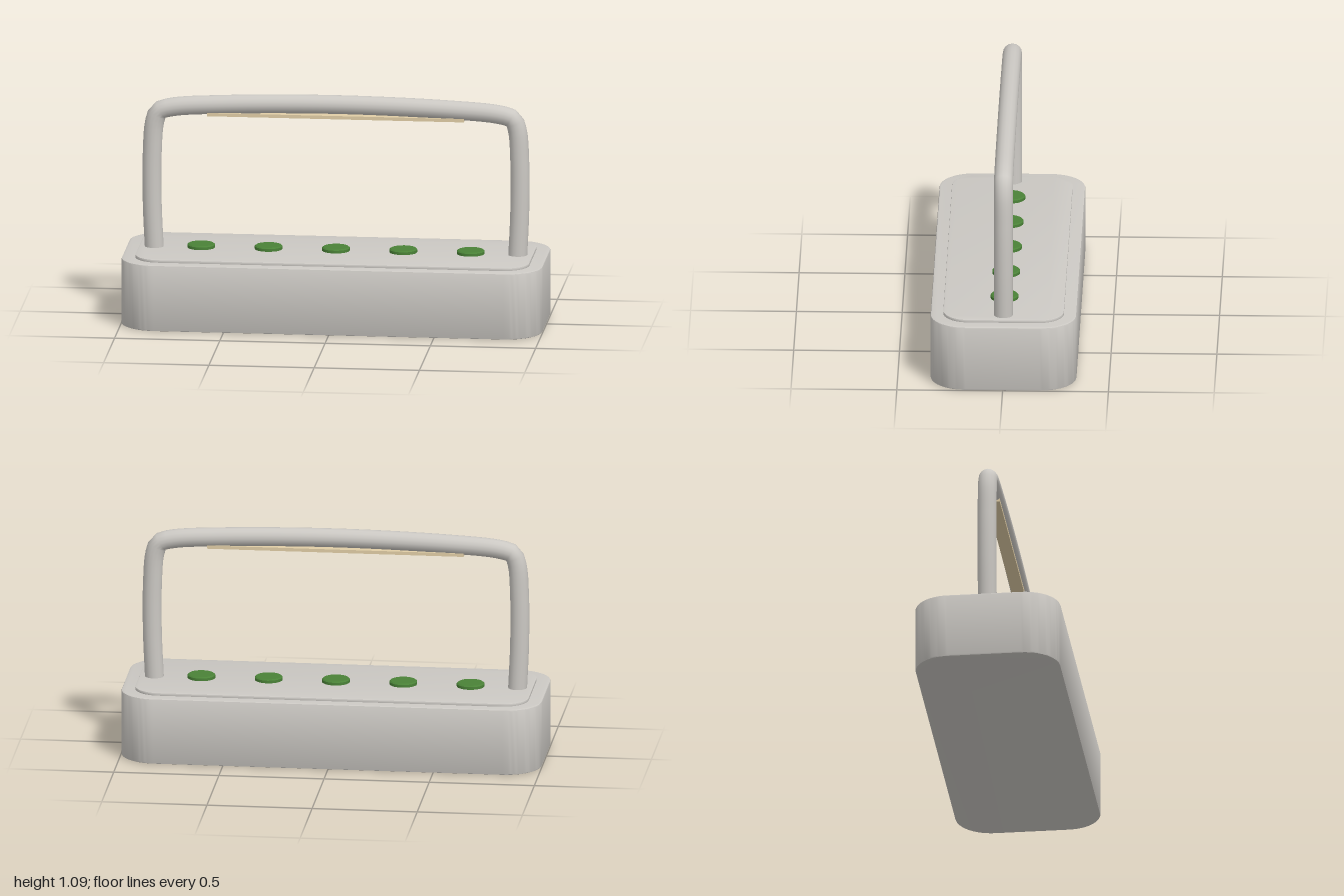
import * as THREE from 'three';
import { toCreasedNormals } from 'three/addons/utils/BufferGeometryUtils.js';

const material = (name, color, extra = {}) => {
  const m = new THREE.MeshStandardMaterial({ color, ...extra });
  m.name = name;
  return m;
};

// Rounded rectangle slab lying flat, with its underside at y = 0
function slab(width, depth, height, radius, bevel) {
  const x = width / 2 - bevel, z = depth / 2 - bevel, r = radius - bevel;
  const shape = new THREE.Shape();
  shape.moveTo(x, -z + r);
  shape.absarc(x - r, z - r, r, 0, Math.PI / 2);
  shape.absarc(-x + r, z - r, r, Math.PI / 2, Math.PI);
  shape.absarc(-x + r, -z + r, r, Math.PI, Math.PI * 1.5);
  shape.absarc(x - r, -z + r, r, Math.PI * 1.5, Math.PI * 2);
  const geometry = new THREE.ExtrudeGeometry(shape, {
    depth: height - 2 * bevel, bevelEnabled: true, bevelThickness: bevel,
    bevelSize: bevel, bevelSegments: 2, curveSegments: 10,
  });
  geometry.rotateX(-Math.PI / 2).translate(0, bevel, 0);
  return toCreasedNormals(geometry, 0.5);
}

export function createModel() {
  const group = new THREE.Group();
  const shell = material('warm grey', 0xcbc8c3);
  const green = material('pod green', 0x4a8237);
  const lightTone = material('warm light', 0xe0cda6);

  const add = (name, geometry, mat, x = 0, y = 0, z = 0) => {
    const mesh = new THREE.Mesh(geometry, mat);
    mesh.name = name;
    mesh.position.set(x, y, z);
    group.add(mesh);
  };

  // Planter tank and its raised lid
  add('tank', slab(2, 0.69, 0.32, 0.17, 0.008), shell);
  add('lid', slab(1.87, 0.57, 0.018, 0.12, 0.003), shell, 0, 0.315);

  // Row of plant pod caps
  const pod = toCreasedNormals(new THREE.LatheGeometry([
    [0, 0], [0.066, 0], [0.066, 0.015], [0.06, 0.02], [0, 0.02],
  ].map(([x, y]) => new THREE.Vector2(x, y)), 24), 0.5);
  for (let i = -2; i <= 2; i++) add('podCap', pod, green, i * 0.32, 0.331);

  // Arched lamp handle, mirrored about the middle
  const half = [
    [-0.862, 0.3], [-0.873, 0.55], [-0.873, 0.78], [-0.861, 0.94],
    [-0.84, 0.99], [-0.78, 1.01], [-0.55, 1.028],
  ];
  const points = [...half, [0, 1.041], ...half.map(([x, y]) => [-x, y]).reverse()]
    .map(([x, y]) => new THREE.Vector3(x, y, 0));
  const path = new THREE.CatmullRomCurve3(points);
  add('handle', new THREE.TubeGeometry(path, 96, 0.045, 16), shell);

  // Light strip under the arch
  add('lightStrip', new THREE.BoxGeometry(1.22, 0.016, 0.06), lightTone, 0, 0.984);

  return group;
}
